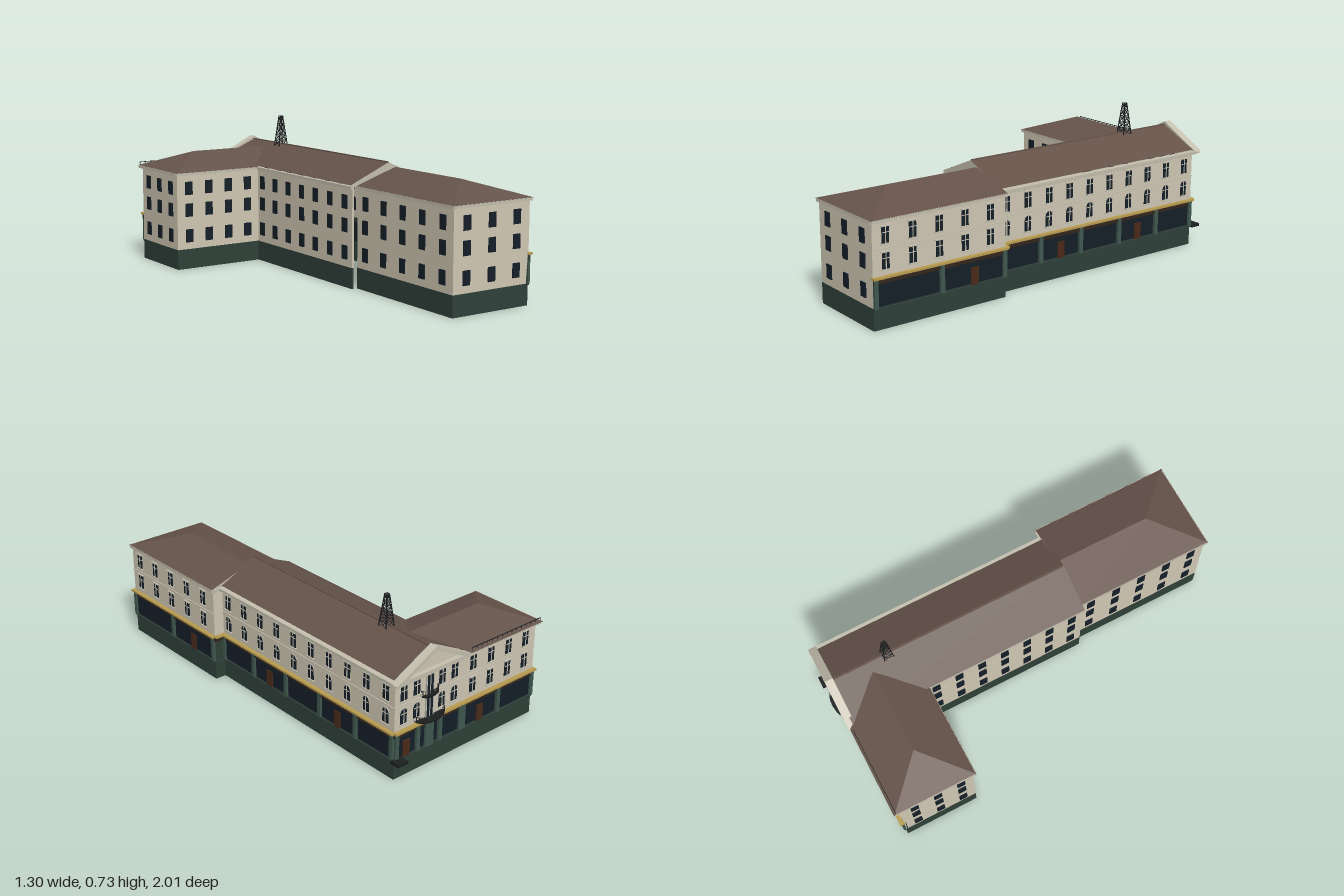
import * as THREE from 'three';

const mat = (color) => new THREE.MeshStandardMaterial({ color, side: THREE.DoubleSide });
const M = {
  wall: mat(0xd0c8b4), trim: mat(0xc4bfae), green: mat(0x2f4039), pillar: mat(0x40584f), roof: mat(0x65534a),
  glass: mat(0x141e28), door: mat(0x4a2a18), band: mat(0x33261c), gold: mat(0xb99c50), iron: mat(0x1d1f20),
};

function add(parent, name, geo, material, x = 0, y = 0, z = 0) {
  const m = new THREE.Mesh(geo, material);
  m.name = name;
  m.position.set(x, y, z);
  parent.add(m);
  return m;
}
const box = (parent, name, material, w, h, d, x, y, z) =>
  add(parent, name, new THREE.BoxGeometry(w, h, d), material, x, y, z);

// Thin bar between two points
function bar(parent, name, a, b, t, material = M.iron) {
  const p = new THREE.Vector3(...a), q = new THREE.Vector3(...b);
  const m = box(parent, name, material, t, p.distanceTo(q), t, 0, 0, 0);
  m.position.copy(p).add(q).multiplyScalar(0.5);
  m.quaternion.setFromUnitVectors(new THREE.Vector3(0, 1, 0), q.sub(p).normalize());
}

// Flat polygons, each fanned from its first corner
function polys(parent, name, material, faces) {
  const pos = [];
  for (const f of faces)
    for (let i = 1; i < f.length - 1; i++) pos.push(...f[0], ...f[i], ...f[i + 1]);
  const g = new THREE.BufferGeometry();
  g.setAttribute('position', new THREE.Float32BufferAttribute(pos, 3));
  g.computeVertexNormals();
  return add(parent, name, g, material);
}

function plainWindow(f, x, y) {
  box(f, 'window', M.glass, 0.04, 0.066, 0.018, x, y, -0.004);
}

// Street window with frame, mullions, sill and hood
function streetWindow(f, x, y, arched) {
  const w = 0.036, h = 0.072, r = w / 2;
  if (arched) {
    const s = new THREE.Shape();
    s.moveTo(-r, -h / 2);
    s.lineTo(r, -h / 2);
    s.lineTo(r, h / 2 - r);
    s.absarc(0, h / 2 - r, r, 0, Math.PI);
    s.closePath();
    add(f, 'archedWindow', new THREE.ExtrudeGeometry(s, { depth: 0.016, bevelEnabled: false, curveSegments: 8 }),
      M.glass, x, y, -0.013);
    add(f, 'archMoulding', new THREE.TorusGeometry(r + 0.003, 0.003, 4, 10, Math.PI), M.trim, x, y + h / 2 - r, 0.002);
  } else {
    box(f, 'window', M.glass, w, h, 0.016, x, y, -0.005);
    box(f, 'windowHood', M.trim, w + 0.012, 0.005, 0.01, x, y + h / 2 + 0.004, 0.003);
  }
  box(f, 'mullion', M.trim, 0.004, h, 0.003, x, y, 0.004);
  box(f, 'transom', M.trim, w, 0.003, 0.003, x, y + 0.012, 0.004);
  box(f, 'windowSill', M.trim, w + 0.01, 0.005, 0.01, x, y - h / 2 - 0.003, 0.003);
}

// One facade: x runs along it, z points outward
function facade(parent, name, u, v, turn, len, count, first, pitch, o = {}) {
  const f = new THREE.Group();
  f.name = name;
  f.position.set(u, 0, v);
  f.rotation.y = turn * Math.PI / 2;
  parent.add(f);
  const c = len / 2, street = o.panels !== undefined, low = street ? 0.228 : 0.1;
  box(f, 'wall', M.wall, len, 0.485 - low, 0.01, c, (0.485 + low) / 2, -0.005);
  box(f, 'plinth', M.green, len, low, 0.01, c, low / 2, -0.005);
  const out = o.eave ?? 0.012;
  box(f, 'cornice', M.trim, len + (o.over ?? out), 0.014, out + 0.006, c, 0.48, out / 2 - 0.003);
  for (let i = 0; i < count; i++) {
    const x = first + i * pitch;
    if (street) {
      if (o.skip === i) continue;
      streetWindow(f, x, 0.415, false);
      streetWindow(f, x, 0.302, o.arched);
    } else for (const y of [0.408, 0.298, 0.168]) plainWindow(f, x, y);
  }
  if (!street) return f;
  // Shopfront level
  box(f, 'goldLedge', M.gold, len + 0.012, 0.009, 0.026, c, 0.234, 0.008);
  box(f, 'signBand', M.band, len, 0.022, 0.008, c, 0.217, 0.003);
  box(f, 'plinthLedge', M.green, len, 0.008, 0.008, c, 0.095, 0.003);
  box(f, 'stringCourse', M.trim, len, 0.004, 0.005, c, 0.357, 0.002);
  const p = len / Math.max(o.panels, 1);
  for (let i = 0; i < o.panels; i++) {
    box(f, 'shopWindow', M.glass, p - 0.03, 0.1, 0.014, (i + 0.5) * p, 0.155, -0.004);
    if (o.doors?.includes(i)) box(f, 'shopDoor', M.door, 0.04, 0.08, 0.008, (i + 0.5) * p, 0.14, 0.004);
  }
  for (let i = 0; i <= o.panels && o.panels; i++)
    box(f, 'shopPillar', M.pillar, 0.02, 0.13, 0.014, Math.min(Math.max(i * p, 0.01), len - 0.01), 0.163, 0.005);
  if (o.dentils)
    for (let x = 0.01; x < len; x += 0.02) box(f, 'dentil', M.trim, 0.008, 0.008, 0.012, x, 0.469, 0.005);
  return f;
}

// Rounded iron balcony
function balcony(parent, x, y, rx, rz, h) {
  const g = new THREE.Group();
  g.name = 'balcony';
  g.position.set(x, y, 0);
  parent.add(g);
  const slab = add(g, 'balconyFloor', new THREE.CylinderGeometry(1, 0.9, 0.008, 20, 1, false, -Math.PI / 2, Math.PI), M.iron);
  slab.scale.set(rx, 1, rz);
  const at = (i, yy) => [rx * Math.cos(i * Math.PI / 14), yy, rz * Math.sin(i * Math.PI / 14)];
  for (let i = 0; i <= 14; i++) {
    bar(g, 'baluster', at(i, 0), at(i, h), 0.002);
    if (i) bar(g, 'handrail', at(i - 1, h), at(i, h), 0.003);
  }
}

export function createModel() {
  const root = new THREE.Group();
  root.name = 'building';
  const b = new THREE.Group();
  b.name = 'block';
  b.rotation.y = THREE.MathUtils.degToRad(10.6);
  root.add(b);

  // Courtyard and end walls
  facade(b, 'frontWingEnd', 0.025, 1.005, 0, 0.43, 3, 0.072, 0.142);
  facade(b, 'frontWingCourtWall', 0.025, 0.31, -1, 0.695, 5, 0.065, 0.14);
  facade(b, 'mainCourtWall', -0.005, -0.525, -1, 0.835, 7, 0.045, 0.122);
  facade(b, 'backWingCourtWall', -0.475, -0.525, 0, 0.47, 4, 0.065, 0.113);
  facade(b, 'backWingEnd', -0.475, -0.9, -1, 0.375, 3, 0.07, 0.12);

  // Street walls
  facade(b, 'frontWingStreetWall', 0.455, 1.005, 1, 0.695, 5, 0.065, 0.136, { panels: 2, doors: [1] });
  facade(b, 'stepWall', 0.455, 0.31, 2, 0.055, 0, 0, 0, { panels: 0, over: 0 });
  facade(b, 'mainStreetWall', 0.4, 0.31, 1, 1.21, 10, 0.045, 0.1233,
    { panels: 5, doors: [1, 3], arched: true, eave: 0.024, dentils: true });
  const back = facade(b, 'pedimentWall', 0.4, -0.9, 2, 0.405, 5, 0.05, 0.076,
    { panels: 3, doors: [0], arched: true, skip: 2, eave: 0.034, dentils: true });
  facade(b, 'backWingStreetWall', -0.005, -0.9, 2, 0.47, 4, 0.065, 0.113, { panels: 2, doors: [0], eave: 0.024, dentils: true });

  // Balcony doors, balconies and entrance
  for (const y of [0.405, 0.29]) {
    box(back, 'balconyDoor', M.glass, 0.04, 0.09, 0.018, 0.202, y, -0.003);
    for (const s of [-1, 0, 1]) box(back, 'doorFrame', M.trim, 0.004, 0.09, 0.008, 0.202 + s * 0.021, y, 0.004);
  }
  polys(back, 'doorPediment', M.trim, [[[0.172, 0.452, 0.008], [0.232, 0.452, 0.008], [0.202, 0.466, 0.008]]]);
  balcony(back, 0.202, 0.242, 0.085, 0.05, 0.03);
  balcony(back, 0.202, 0.355, 0.05, 0.028, 0.03);
  box(back, 'entranceDoor', M.pillar, 0.05, 0.12, 0.012, 0.202, 0.155, 0.006);
  box(back, 'cornerLedge', M.iron, 0.06, 0.014, 0.05, 0.01, 0.098, 0.025);

  // Main roof with its front gable
  polys(b, 'mainRoof', M.roof, [
    [[-0.017, 0.493, -0.91], [-0.017, 0.493, 0.315], [0.2, 0.585, 0.315], [0.2, 0.585, -0.91]],
    [[0.405, 0.493, 0.315], [0.405, 0.493, -0.91], [0.2, 0.585, -0.91], [0.2, 0.585, 0.315]],
  ]);
  polys(b, 'mainGable', M.trim, [[[-0.017, 0.48, 0.314], [0.405, 0.48, 0.314], [0.405, 0.493, 0.314], [0.2, 0.585, 0.314], [-0.017, 0.493, 0.314]]]);
  box(b, 'mainRidge', M.roof, 0.008, 0.006, 1.22, 0.2, 0.585, -0.3);

  // Front wing hipped roof
  const e = 0.486;
  polys(b, 'frontWingRoof', M.roof, [
    [[0.012, e, 0.306], [0.012, e, 1.018], [0.24, 0.56, 0.79], [0.24, 0.56, 0.306]],
    [[0.468, e, 1.018], [0.468, e, 0.306], [0.24, 0.56, 0.306], [0.24, 0.56, 0.79]],
    [[0.012, e, 1.018], [0.468, e, 1.018], [0.24, 0.56, 0.79]],
  ]);
  polys(b, 'frontWingGable', M.trim, [[[0.468, e, 0.307], [0.012, e, 0.307], [0.24, 0.56, 0.307]]]);

  // Back wing hipped roof, running into the main roof
  polys(b, 'backWingRoof', M.roof, [
    [[-0.487, e, -0.512], [-0.017, e, -0.512], [0.152, 0.566, -0.72], [-0.272, 0.566, -0.72]],
    [[-0.017, e, -0.932], [-0.487, e, -0.932], [-0.272, 0.566, -0.72], [0.152, 0.566, -0.72]],
    [[-0.487, e, -0.932], [-0.487, e, -0.512], [-0.272, 0.566, -0.72]],
  ]);
  const rail = [[-0.48, -0.475], [-0.04, -0.475]].map(([x]) => [x, 0.503, -0.92]);
  bar(b, 'roofRail', rail[0], rail[1], 0.003);
  for (let i = 0; i <= 14; i++) box(b, 'railPost', M.iron, 0.002, 0.016, 0.002, -0.48 + i * 0.0314, 0.495, -0.92);

  // Triangular pediment with recessed field
  const tri = (w, y0, y1, P) => {
    const s = new P();
    s.moveTo(0.2 - w, y0);
    s.lineTo(0.2 + w, y0);
    s.lineTo(0.2, y1);
    s.closePath();
    return s;
  };
  const ped = tri(0.226, 0.485, 0.6, THREE.Shape);
  ped.holes.push(tri(0.165, 0.496, 0.58, THREE.Path));
  add(b, 'pediment', new THREE.ExtrudeGeometry(ped, { depth: 0.04, bevelEnabled: false }), M.trim, 0, 0, -0.938);
  add(b, 'pedimentField', new THREE.ShapeGeometry(tri(0.19, 0.49, 0.585, THREE.Shape)), M.wall, 0, 0, -0.915);

  // Lattice mast
  const mast = new THREE.Group();
  mast.name = 'mast';
  mast.position.set(0.198, 0, -0.624);
  b.add(mast);
  const levels = 5;
  const corner = (k, l) => {
    const r = 0.025 - 0.018 * l / levels;
    return [r * [1, -1, -1, 1][k % 4], 0.57 + 0.16 * l / levels, r * [1, 1, -1, -1][k % 4]];
  };
  for (let k = 0; k < 4; k++) {
    bar(mast, 'mastLeg', corner(k, 0), corner(k, levels), 0.004);
    for (let l = 0; l < levels; l++) {
      bar(mast, 'mastBrace', corner(k, l), corner(k + 1, l + 1), 0.002);
      bar(mast, 'mastBrace', corner(k + 1, l), corner(k, l + 1), 0.002);
      bar(mast, 'mastRing', corner(k, l + 1), corner(k + 1, l + 1), 0.002);
    }
  }
  return root;
}
